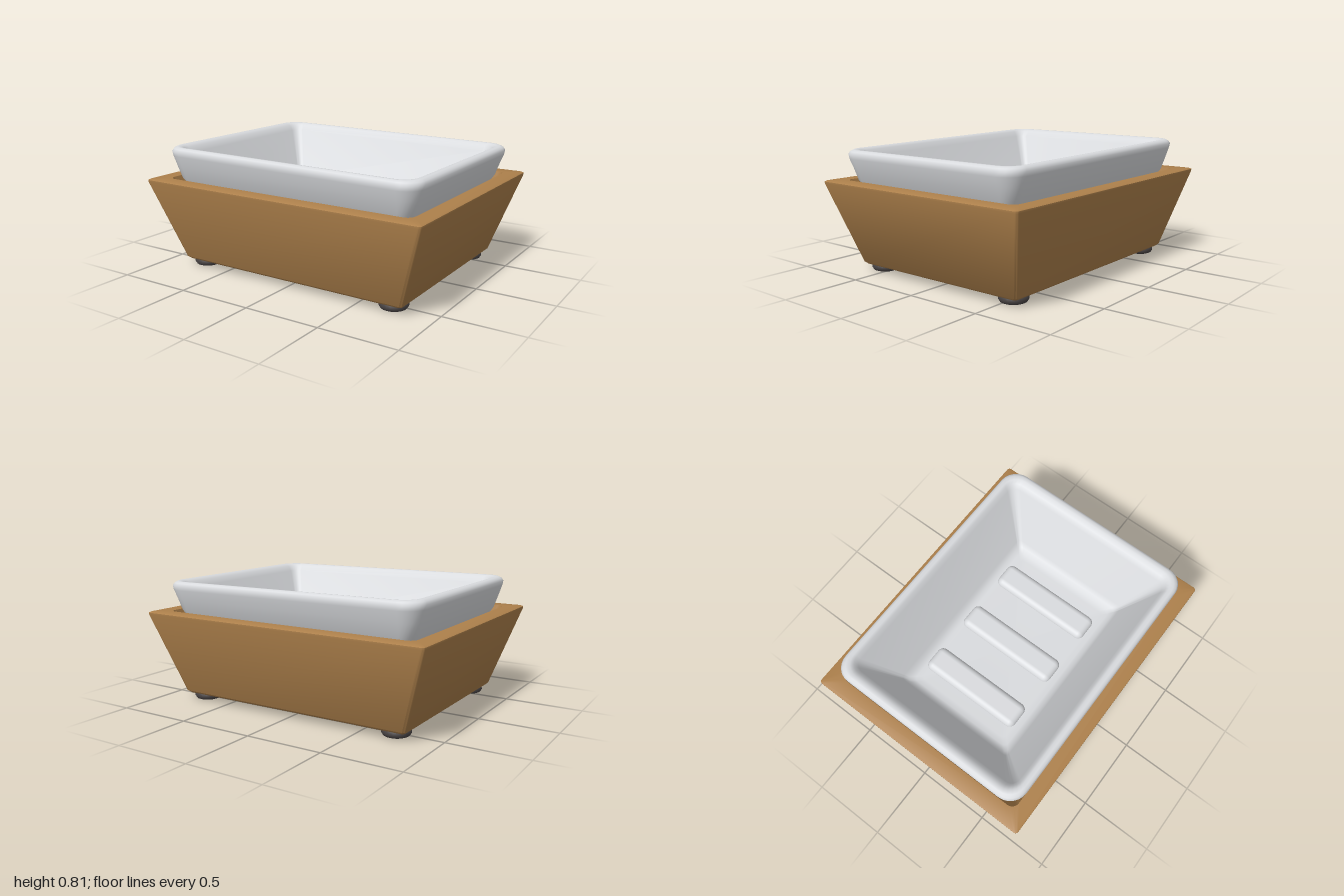
import * as THREE from 'three';
import { toCreasedNormals } from 'three/addons/utils/BufferGeometryUtils.js';
import { RoundedBoxGeometry } from 'three/addons/geometries/RoundedBoxGeometry.js';

// Rounded rectangle outline, counted round from +x towards +z
function outline(hx, hz, r, steps = 6) {
  const points = [];
  const signs = [[1, 1], [-1, 1], [-1, -1], [1, -1]];
  signs.forEach(([sx, sz], corner) => {
    for (let k = 0; k <= steps; k++) {
      const a = (corner + k / steps) * Math.PI / 2;
      points.push([sx * (hx - r) + r * Math.cos(a), sz * (hz - r) + r * Math.sin(a)]);
    }
  });
  return points;
}

// Skin over rings of [y, half width, half depth, corner radius]
function loft(rings, crease) {
  const position = [], index = [];
  let n = 0;
  for (const [y, hx, hz, r] of rings) {
    const points = outline(hx, hz, r);
    n = points.length;
    for (const [x, z] of points) position.push(x, y, z);
  }
  for (let i = 0; i < rings.length - 1; i++) {
    for (let j = 0; j < n; j++) {
      const a = i * n + j, c = i * n + (j + 1) % n;
      index.push(a, a + n, c, c, a + n, c + n);
    }
  }
  const geometry = new THREE.BufferGeometry();
  geometry.setAttribute('position', new THREE.Float32BufferAttribute(position, 3));
  geometry.setIndex(index);
  return toCreasedNormals(geometry, crease);
}

export function createModel() {
  const wood = new THREE.MeshStandardMaterial({ color: 0xad804b });
  wood.name = 'wood';
  const ceramic = new THREE.MeshStandardMaterial({ color: 0xd9dbde });
  ceramic.name = 'white ceramic';
  const rubber = new THREE.MeshStandardMaterial({ color: 0x4a4545 });
  rubber.name = 'dark rubber';

  const model = new THREE.Group();
  model.name = 'soapDish';
  function add(parent, name, geometry, material, x = 0, y = 0, z = 0) {
    const mesh = new THREE.Mesh(geometry, material);
    mesh.name = name;
    mesh.position.set(x, y, z);
    parent.add(mesh);
    return mesh;
  }

  // Flared wooden box: recessed underside, outer walls, top rim, inside
  add(model, 'woodenBox', loft([
    [0.13, 0, 0, 0],
    [0.13, 0.75, 0.56, 0.01],
    [0.045, 0.75, 0.56, 0.01],
    [0.045, 0.805, 0.62, 0.02],
    [0.06, 0.822, 0.637, 0.02],
    [0.58, 0.995, 0.782, 0.02],
    [0.592, 0.995, 0.782, 0.02],
    [0.598, 0.985, 0.772, 0.02],
    [0.598, 0.89, 0.685, 0.05],
    [0.18, 0.75, 0.55, 0.04],
    [0.18, 0, 0, 0],
  ], 0.6), wood);

  // Ceramic dish: underside, flared outside, rolled lip, sloping inside, floor
  const dish = new THREE.Group();
  dish.name = 'ceramicDish';
  dish.position.set(0.006, 0, 0.004);
  model.add(dish);
  const bowl = loft([
    [0.29, 0, 0, 0],
    [0.29, 0.64, 0.43, 0.05],
    [0.34, 0.71, 0.5, 0.07],
    [0.6, 0.858, 0.645, 0.08],
    [0.68, 0.885, 0.67, 0.1],
    [0.745, 0.908, 0.692, 0.12],
    [0.772, 0.912, 0.696, 0.12],
    [0.79, 0.903, 0.687, 0.12],
    [0.8, 0.885, 0.67, 0.11],
    [0.799, 0.86, 0.65, 0.1],
    [0.785, 0.832, 0.633, 0.08],
    [0.75, 0.81, 0.615, 0.06],
    [0.44, 0.645, 0.435, 0.03],
    [0.4, 0.622, 0.41, 0.03],
    [0.384, 0.59, 0.38, 0.03],
    [0.38, 0.55, 0.34, 0.03],
    [0.38, 0, 0, 0],
  ], 1.0);

  // The lip dips slightly towards +x
  const p = bowl.attributes.position;
  for (let i = 0; i < p.count; i++) {
    if (p.getY(i) > 0.7) p.setY(i, p.getY(i) - 0.008 * p.getX(i));
  }
  add(dish, 'bowl', bowl, ceramic);

  // Three soft ribs on the dish floor
  for (const x of [-0.385, 0, 0.385]) {
    add(dish, 'rib', new RoundedBoxGeometry(0.18, 0.09, 0.72, 5, 0.044), ceramic, x, 0.375, -0.02);
  }

  // Four round feet
  const footProfile = [[0, 0], [0.06, 0], [0.08, 0.008], [0.09, 0.025], [0.088, 0.045], [0.075, 0.06], [0.05, 0.135]]
    .map(([r, y]) => new THREE.Vector2(r, y));
  const footGeometry = new THREE.LatheGeometry(footProfile, 24);
  for (const x of [-0.715, 0.715]) {
    for (const z of [-0.535, 0.535]) add(model, 'foot', footGeometry, rubber, x, 0, z);
  }
  return model;
}
